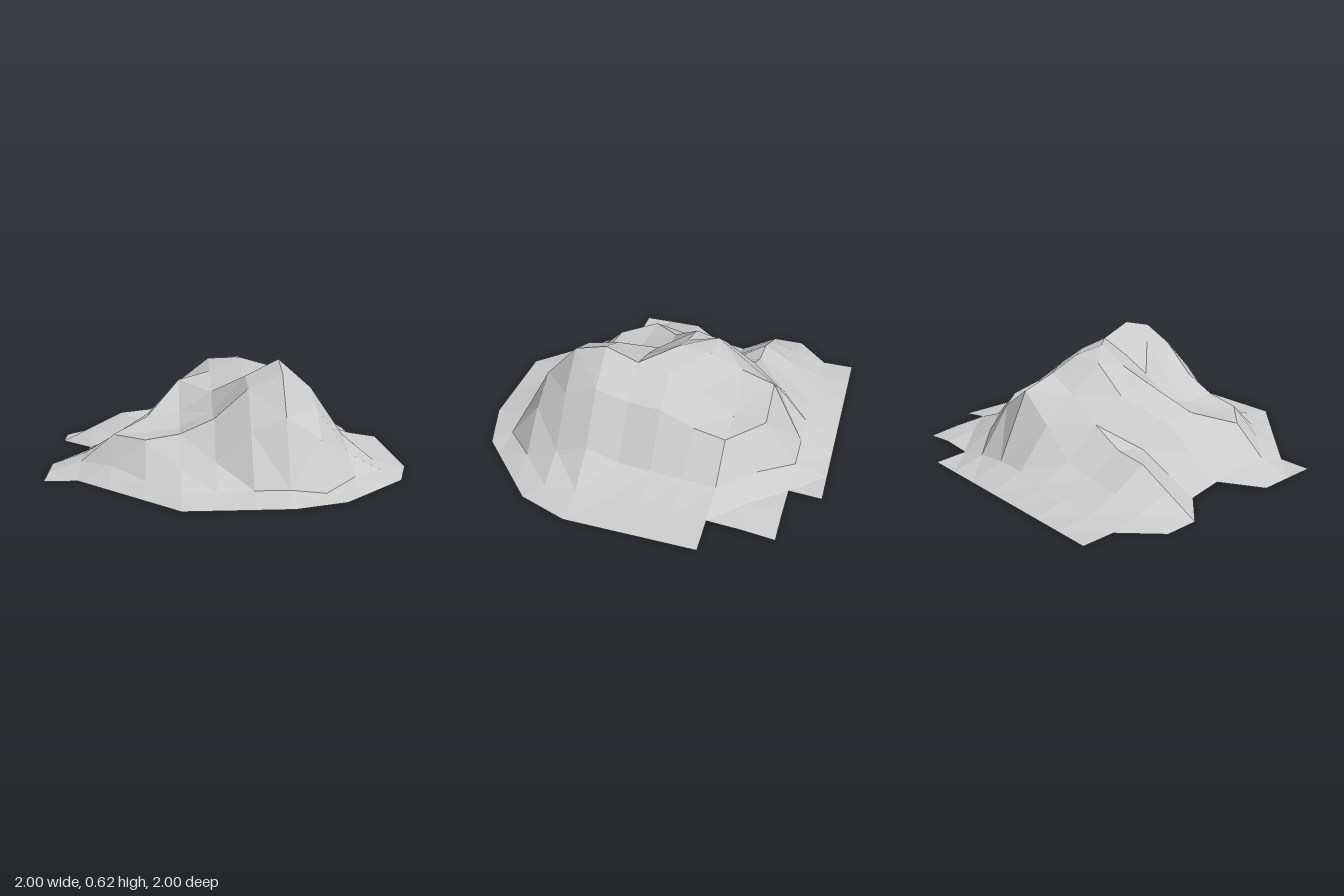
import * as THREE from 'three';

// Heights in hundredths, one row per grid line from back to front; _ is no ground.
const _ = null;
const ROWS = [
  [_, 0, 0, 0, 0, 0, 0, 0, 0, _, _, _],
  [_, 0, 2, 4, 5, 7, 7, 5, 1, 2, 0, _],
  [0, 4, 8, 9, 13, 28, 43, 30, 10, 4, 2, _],
  [0, 9, 18, 20, 29, 41, 49, 30, 28, 10, 3, 0],
  [_, 0, 7, 15, 41, 55, 56, 45, 32, 11, 3, 0],
  [_, 3, 13, 25, 45, 50, 58, 52, 40, 12, 3, 0],
  [0, 6, 17, 27, 29, 41, 49, 55, 41, 13, 3, 0],
  [0, 6, 21, 22, 24, 33, 53, 62, 46, 19, 4, 0],
  [0, 0, 8, 22, 25, 33, 49, 57, 39, 13, 3, 0],
  [_, _, 0, 5, 10, 14, 30, 37, 25, 5, 0, _],
  [_, _, _, 0, 3, 3, 4, 4, 2, 0, _, _],
  [_, _, _, _, 0, 0, 0, 0, 0, _, _, _],
];
const N = 12, STEP = 2 / (N - 1);
const SQUARE_NOTCHES = ['0,8', '2,10']; // row,column of cells left empty
const RIDGE_CELLS = ['5,3', '6,2']; // cells split along the ridge that crosses them

function gridPoint(row, col) {
  const h = ROWS[row][col];
  if (h === null) return null;
  // the two ends of the front left bevel are pulled in along it
  let shift = 0;
  if (row === 8 && col === 11) shift = -STEP / 2;
  if (row === 11 && col === 8) shift = STEP / 2;
  return new THREE.Vector3(-1 + col * STEP + shift, h / 100, -1 + row * STEP - shift);
}

function createHillGeometry() {
  const pos = [];
  const tri = (...pts) => pts.forEach((p) => pos.push(p.x, p.y, p.z));
  for (let r = 0; r < N - 1; r++) {
    for (let c = 0; c < N - 1; c++) {
      const cell = `${r},${c}`;
      if (SQUARE_NOTCHES.includes(cell)) continue;
      // corners counter-clockwise seen from above
      const q = [gridPoint(r, c), gridPoint(r + 1, c), gridPoint(r + 1, c + 1), gridPoint(r, c + 1)];
      const there = q.filter(Boolean);
      if (there.length === 3) tri(...there);
      if (there.length < 4) continue;
      // split each other cell along its flatter diagonal
      const [a, b, d, e] = q;
      if (!RIDGE_CELLS.includes(cell) && Math.abs(a.y - d.y) <= Math.abs(b.y - e.y)) {
        tri(a, b, d);
        tri(a, d, e);
      } else {
        tri(a, b, e);
        tri(b, d, e);
      }
    }
  }
  const geo = new THREE.BufferGeometry();
  geo.setAttribute('position', new THREE.Float32BufferAttribute(pos, 3));
  geo.computeVertexNormals();
  return geo;
}

export function createModel() {
  const group = new THREE.Group();
  group.name = 'terrain';
  // open, faceted hill
  const hill = new THREE.Mesh(
    createHillGeometry(),
    new THREE.MeshStandardMaterial({ color: 0xcccccc, flatShading: true, side: THREE.DoubleSide })
  );
  hill.name = 'hill';
  group.add(hill);
  return group;
}
